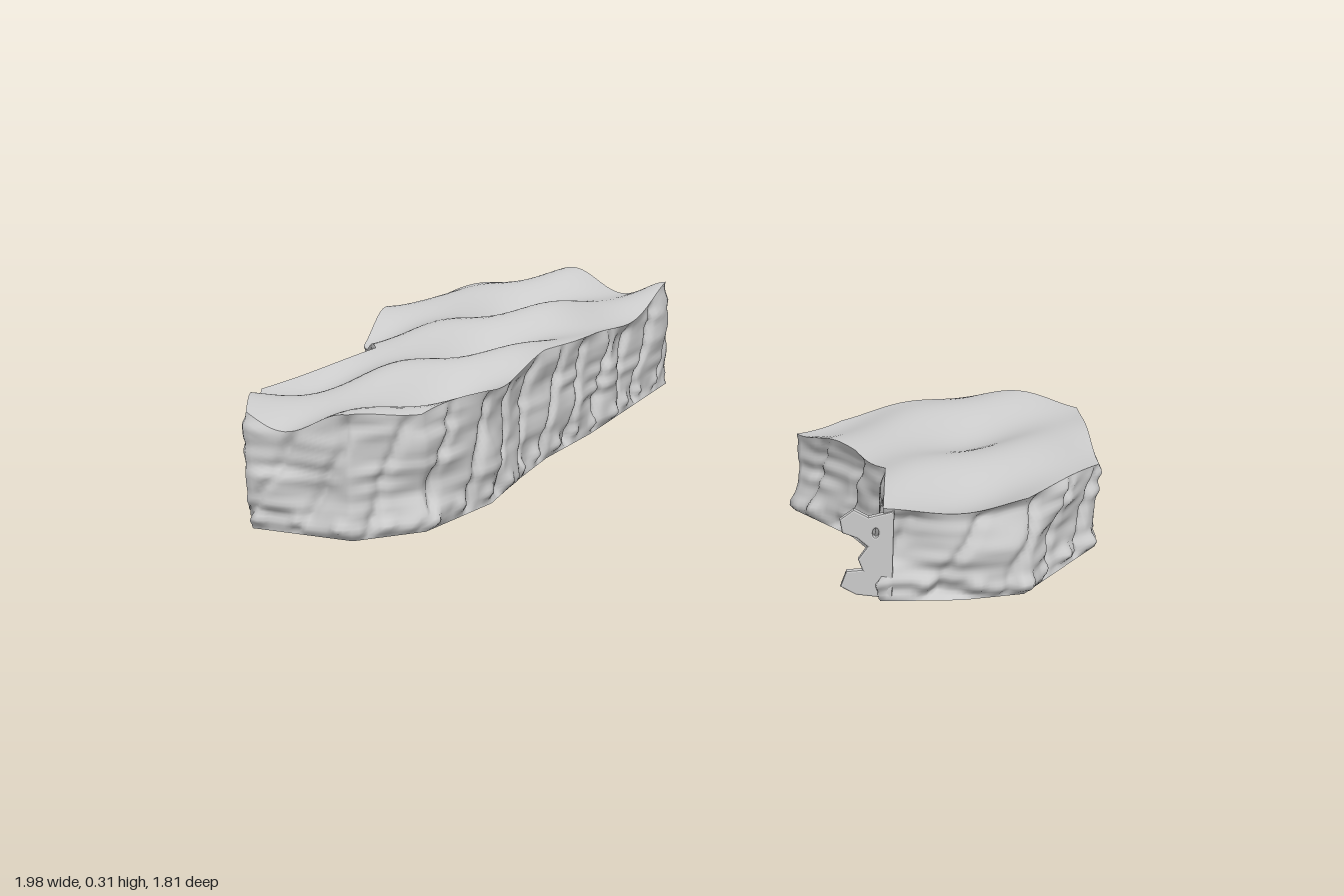
import * as THREE from 'three';

const material = new THREE.MeshStandardMaterial({ color: 0xcccccc, side: THREE.DoubleSide });

// Smooth repeatable 3D value noise, 0..1
const hash = (x, y, z) => {
  const s = Math.sin(x * 127.1 + y * 311.7 + z * 74.7) * 43758.5453;
  return s - Math.floor(s);
};
function noise(x, y, z) {
  const c = [x, y, z].map(Math.floor);
  const [u, v, w] = [x - c[0], y - c[1], z - c[2]].map((f) => f * f * (3 - 2 * f));
  let sum = 0;
  for (let i = 0; i < 8; i++) {
    const a = i & 1, b = (i >> 1) & 1, d = i >> 2;
    sum += hash(c[0] + a, c[1] + b, c[2] + d) * (a ? u : 1 - u) * (b ? v : 1 - v) * (d ? w : 1 - w);
  }
  return sum;
}

// Rippled ground: a diagonal wave with a weaker wave along each axis
const wave = (value, crest, period) => Math.cos((2 * Math.PI * (value - crest)) / period);
const ripple = (x, z) =>
  0.02 * wave(x + z, -0.85, 0.42) + 0.012 * wave(x, -0.7, 0.31) + 0.012 * wave(z, 0.1, 0.45);

// Closed strip of rows; pointAt(column, row) gives [x, y, z]
function loopSurface(name, columns, rows, pointAt) {
  const positions = [], index = [];
  for (let j = 0; j <= rows; j++) {
    for (let i = 0; i < columns; i++) {
      positions.push(...pointAt(i, j / rows));
      if (j === rows) continue;
      const a = j * columns + i, b = j * columns + ((i + 1) % columns);
      index.push(a, a + columns, b, b, a + columns, b + columns);
    }
  }
  const geometry = new THREE.BufferGeometry();
  geometry.setAttribute('position', new THREE.Float32BufferAttribute(positions, 3));
  geometry.setIndex(index);
  geometry.computeVertexNormals();
  const mesh = new THREE.Mesh(geometry, material);
  mesh.name = name;
  return mesh;
}

// Split the outline into short steps and find the outward direction at each
function resample(corners, step) {
  const points = [];
  corners.forEach(([x, z], i) => {
    const [x2, z2] = corners[(i + 1) % corners.length];
    const n = Math.max(1, Math.round(Math.hypot(x2 - x, z2 - z) / step));
    for (let k = 0; k < n; k++) points.push({ x: x + ((x2 - x) * k) / n, z: z + ((z2 - z) * k) / n });
  });
  let along = 0;
  points.forEach((p, i) => {
    const a = points.at(i - 1), b = points[(i + 1) % points.length];
    const length = Math.hypot(b.x - a.x, b.z - a.z) || 1;
    p.nx = (b.z - a.z) / length;
    p.nz = -(b.x - a.x) / length;
    along += length / 2;
    p.along = along;
  });
  return points;
}

// How far the cliff face bulges out at a point
function relief(p, y, t) {
  const { x, z, along } = p;
  const lumps = 0.04 * (noise(x * 9 + 20, y * 10, z * 9 + 20) - 0.47);
  const strata = 0.016 * (noise(x * 8 + 5, y * 45, z * 8 + 5) - 0.5);
  const slant = along + y * 0.45 + 0.05 * noise(along * 6, y * 14, 3);
  const crack = -0.014 * Math.pow(Math.abs(Math.cos(slant * 22)), 24);
  const knob = 0.016 * Math.exp(-(((y - 0.03) / 0.016) ** 2)) * Math.max(0, Math.sin(along * 60));
  const edge = Math.min(1, t / 0.06, (1 - t) / 0.1);
  return (lumps + strata + crack + knob) * edge;
}

function island(name, corners, [cx, cz], height, strength) {
  const group = new THREE.Group();
  group.name = name;
  const points = resample(corners, 0.012);
  const top = (x, z) => height + strength * ripple(x, z);
  const toCentre = (p, t) => [p.x + (cx - p.x) * t, p.z + (cz - p.z) * t];
  group.add(
    loopSurface('rockWall', points.length, 28, (i, t) => {
      const p = points[i], y = top(p.x, p.z) * t, d = relief(p, y, t);
      return [p.x + p.nx * d, y, p.z + p.nz * d];
    }),
    loopSurface('rippledTop', points.length, 28, (i, t) => {
      const [x, z] = toCentre(points[i], t);
      return [x, top(x, z), z];
    }),
    loopSurface('flatBase', points.length, 1, (i, t) => {
      const [x, z] = toCentre(points[i], 1 - t);
      return [x, 0, z];
    })
  );
  return group;
}

// Thin broken flake at the sharp corner of the small island
function brokenFlake() {
  const shape = new THREE.Shape([
    [0.53, 0.01], [0.46, 0.015], [0.43, 0.03], [0.44, 0.06], [0.475, 0.065], [0.465, 0.09],
    [0.485, 0.12], [0.46, 0.14], [0.43, 0.15], [0.425, 0.175], [0.45, 0.195], [0.48, 0.18], [0.53, 0.195],
  ].map((p) => new THREE.Vector2(...p)));
  const hole = new THREE.Path();
  hole.absellipse(0.496, 0.15, 0.01, 0.014, 0, Math.PI * 2);
  shape.holes.push(hole);
  const geometry = new THREE.ExtrudeGeometry(shape, {
    depth: 0.008, bevelThickness: 0.004, bevelSize: 0.004, bevelSegments: 2,
  });
  const mesh = new THREE.Mesh(geometry, material);
  mesh.name = 'brokenFlake';
  mesh.position.z = 0.873;
  return mesh;
}

export function createModel() {
  const model = new THREE.Group();
  model.name = 'rockIslands';
  const large = [
    [-0.55, -0.9], [-0.13, -0.72], [-0.27, -0.22], [-0.35, 0], [-0.39, 0.18], [-0.42, 0.36], [-0.53, 0.57],
    [-0.68, 0.65], [-0.93, 0.59], [-0.985, 0.3], [-0.78, 0], [-0.865, -0.2], [-0.85, -0.56],
  ];
  const small = [
    [0.69, 0.02], [0.96, 0.07], [0.98, 0.5], [0.81, 0.81], [0.68, 0.86], [0.51, 0.885],
    [0.51, 0.65], [0.44, 0.5], [0.3, 0.33], [0.4, 0.21],
  ];
  const smallIsland = island('smallIsland', small, [0.68, 0.45], 0.206, 0.6);
  smallIsland.add(brokenFlake());
  model.add(island('largeIsland', large, [-0.55, -0.05], 0.265, 1), smallIsland);
  return model;
}
